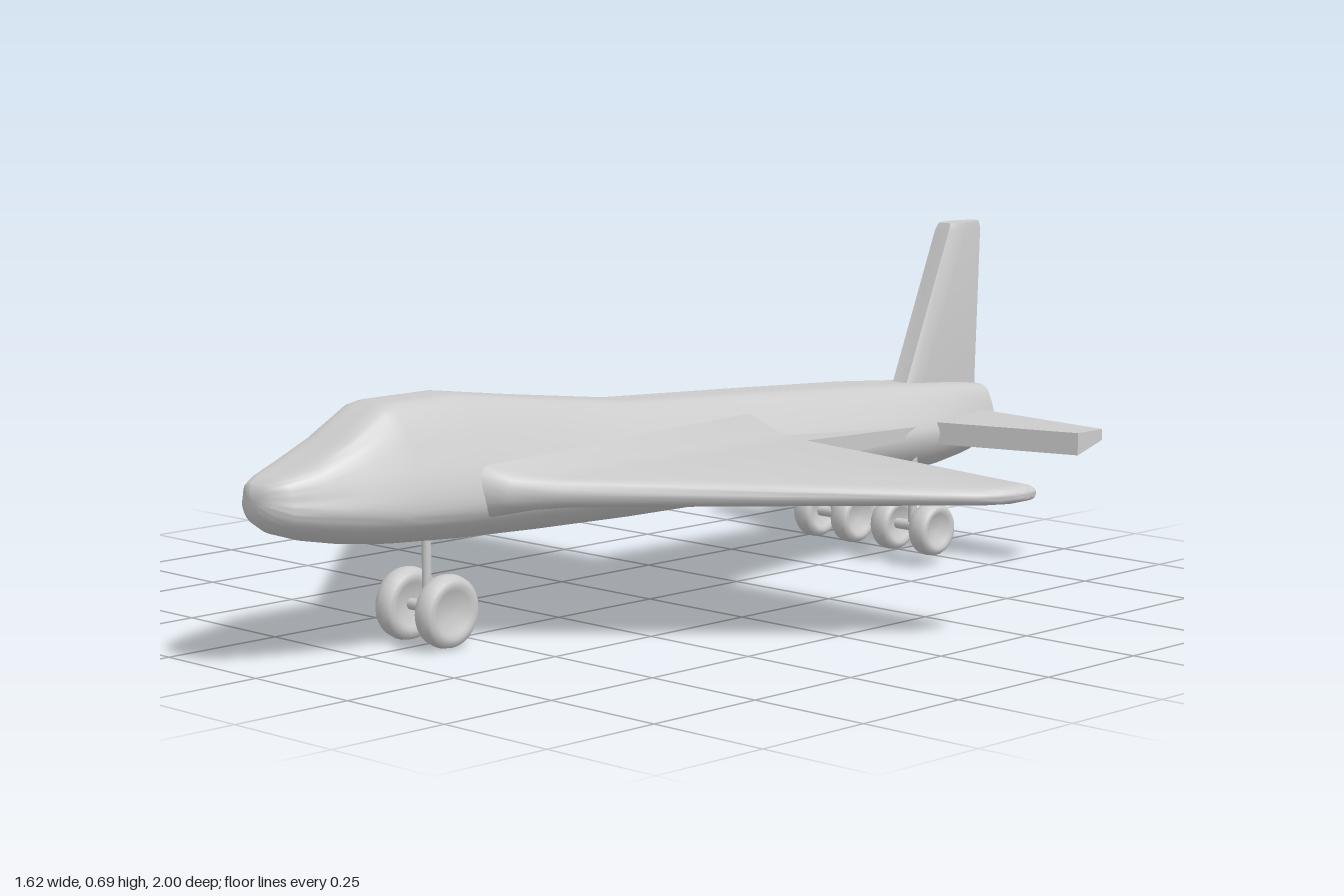
import * as THREE from 'three';
import { toCreasedNormals } from 'three/addons/utils/BufferGeometryUtils.js';

const material = new THREE.MeshStandardMaterial({ color: 0xcccccc });
const V = (x, y, z) => new THREE.Vector3(x, y, z);

// Skins a list of equally long closed rings and caps both ends.
function loft(rings, crease = 0.6) {
  const n = rings[0].length, pos = [], idx = [];
  rings.forEach(r => r.forEach(p => pos.push(p.x, p.y, p.z)));
  for (let i = 0; i < rings.length - 1; i++) {
    for (let j = 0; j < n; j++) {
      const a = i * n + j, b = i * n + (j + 1) % n;
      idx.push(a, b, a + n, b, b + n, a + n);
    }
  }
  [0, rings.length - 1].forEach((r, end) => {
    const c = rings[r].reduce((s, p) => s.add(p), V(0, 0, 0)).divideScalar(n);
    const k = pos.length / 3;
    pos.push(c.x, c.y, c.z);
    for (let j = 0; j < n; j++) {
      const a = r * n + j, b = r * n + (j + 1) % n;
      if (end) idx.push(k, a, b); else idx.push(k, b, a);
    }
  });
  // Turn the faces outwards if the enclosed volume is negative.
  const at = i => V(pos[3 * i], pos[3 * i + 1], pos[3 * i + 2]);
  let volume = 0;
  for (let i = 0; i < idx.length; i += 3) {
    volume += at(idx[i]).dot(at(idx[i + 1]).cross(at(idx[i + 2])));
  }
  if (volume < 0) idx.reverse();
  const g = new THREE.BufferGeometry();
  g.setAttribute('position', new THREE.Float32BufferAttribute(pos, 3));
  g.setIndex(idx);
  return toCreasedNormals(g, crease);
}

function add(parent, name, geometry, x = 0, y = 0, z = 0) {
  const m = new THREE.Mesh(geometry, material);
  m.name = name;
  m.position.set(x, y, z);
  parent.add(m);
  return m;
}

// Fuselage section: round belly, sloping shoulders, narrow flattened roof.
function bodyRing([z, hw, bottom, mid, top, roof]) {
  const h = top - mid, d = mid - bottom;
  const half = [
    [0, bottom], [hw * 0.4, mid - d * 0.92], [hw * 0.75, mid - d * 0.66], [hw * 0.95, mid - d * 0.3],
    [hw, mid], [hw * 0.95, mid + h * 0.22], [hw * 0.6 + roof * 0.4, mid + h * 0.52],
    [hw * 0.2 + roof * 0.8, mid + h * 0.82], [roof * 0.8, mid + h * 0.98], [0, top],
  ];
  const outline = [...half, ...half.slice(1, -1).reverse().map(([x, y]) => [-x, y])];
  const curve = new THREE.CatmullRomCurve3(outline.map(([x, y]) => V(x, y, z)), true);
  return Array.from({ length: 54 }, (_, i) => curve.getPoint(i / 54));
}

function fuselage() {
  // z, half width, belly y, widest y, roof y, roof half width
  const rings = [
    [1.0, 0.02, 0.295, 0.315, 0.335, 0.015],
    [0.99, 0.043, 0.275, 0.312, 0.35, 0.033],
    [0.96, 0.066, 0.256, 0.305, 0.36, 0.05],
    [0.9, 0.09, 0.237, 0.3, 0.378, 0.066],
    [0.82, 0.112, 0.221, 0.292, 0.415, 0.066],
    [0.74, 0.126, 0.211, 0.285, 0.464, 0.062],
    [0.71, 0.13, 0.208, 0.284, 0.47, 0.06],
    [0.55, 0.141, 0.197, 0.28, 0.47, 0.06],
    [0.35, 0.141, 0.188, 0.28, 0.442, 0.06],
    [0.1, 0.141, 0.18, 0.278, 0.41, 0.06],
    [-0.3, 0.141, 0.174, 0.272, 0.388, 0.066],
    [-0.6, 0.139, 0.17, 0.268, 0.37, 0.072],
    [-0.72, 0.132, 0.17, 0.266, 0.36, 0.072],
    [-0.82, 0.113, 0.176, 0.266, 0.352, 0.066],
    [-0.91, 0.09, 0.186, 0.267, 0.344, 0.056],
    [-0.98, 0.072, 0.2, 0.267, 0.335, 0.047],
  ].map(bodyRing);
  // Hollow exhaust
  const rim = rings[rings.length - 1];
  [[0.88, -0.985], [0.75, -0.94], [0.45, -0.91]].forEach(([s, z]) =>
    rings.push(rim.map(p => V(p.x * s, 0.267 + (p.y - 0.267) * s, z))));
  return loft(rings, 0.7);
}

// Wing section: flat plate with rounded leading and trailing edges.
function wingRing(x, front, back, low, high) {
  const r = Math.min(0.035, (front - back) / 2), h = (high - low) / 2, mid = (high + low) / 2;
  const ring = [];
  for (let i = 0; i <= 8; i++) {
    const a = -Math.PI / 2 + (i / 8) * Math.PI;
    ring.push(V(x, mid + h * Math.sin(a), front - r + r * Math.cos(a)));
  }
  for (let i = 0; i <= 8; i++) {
    const a = Math.PI / 2 + (i / 8) * Math.PI;
    ring.push(V(x, mid + h * Math.sin(a), back + r * 0.4 * (1 + Math.cos(a))));
  }
  return ring;
}

function wing(side) {
  // x, leading z, trailing z, underside y, top y
  return loft([
    [0.08, 0.59, -0.205, 0.24, 0.365], [0.13, 0.58, -0.205, 0.25, 0.345],
    [0.17, 0.54, -0.205, 0.262, 0.331], [0.23, 0.478, -0.205, 0.268, 0.323],
    [0.5, 0.203, -0.205, 0.269, 0.313], [0.72, -0.02, -0.205, 0.27, 0.304],
    [0.77, -0.072, -0.205, 0.27, 0.302], [0.793, -0.105, -0.205, 0.271, 0.301],
    [0.804, -0.135, -0.203, 0.275, 0.297], [0.808, -0.15, -0.197, 0.28, 0.292],
  ].map(([x, ...s]) => wingRing(side * x, ...s)), 0.8);
}

// Tailplane: thick leading edge tapering to a thin trailing edge.
function tailplane(side, tipX, shift) {
  const ring = (x, front, back) => [
    V(x, 0.242, front), V(x, 0.288, front), V(x, 0.288, back), V(x, 0.265, back)];
  return loft([ring(side * 0.05, -0.7 + shift, -0.93 + shift), ring(side * tipX, -0.81 + shift, -0.89 + shift)], 0.3);
}

// Fin: blunt front, slimmer rear, leaning back.
function fin() {
  const ring = (y, front, back, s) => [
    V(-0.019 * s, y, front), V(0.019 * s, y, front), V(0.026 * s, y, front - 0.02), V(0.026 * s, y, front - 0.05),
    V(0.014 * s, y, back + 0.006), V(0, y, back),
    V(-0.014 * s, y, back + 0.006), V(-0.026 * s, y, front - 0.05), V(-0.026 * s, y, front - 0.02)];
  return loft([ring(0.29, -0.69, -0.985, 1.1), ring(0.36, -0.752, -0.987, 1),
    ring(0.67, -0.883, -0.999, 1), ring(0.685, -0.892, -0.995, 0.85)], 0.5);
}

// Wheel with rounded tyre and dished hub, axis along x.
function wheel(r, w) {
  const h = w / 2;
  const p = [[0, -h * 0.45], [r * 0.3, -h * 0.5], [r * 0.6, -h * 0.85], [r * 0.72, -h], [r * 0.86, -h * 0.92],
    [r * 0.96, -h * 0.6], [r, 0]];
  const profile = [...p, ...p.slice(0, -1).reverse().map(([a, b]) => [a, -b])];
  return new THREE.LatheGeometry(profile.map(([a, b]) => new THREE.Vector2(a, b)), 28).rotateZ(Math.PI / 2);
}

function landingGear(name, x, z, r, y, gap) {
  const g = new THREE.Group();
  g.name = name;
  g.position.set(x, 0, z);
  add(g, 'strut', new THREE.CylinderGeometry(0.009, 0.009, 0.16, 14), 0, y + 0.075, 0);
  add(g, 'axle', new THREE.CylinderGeometry(0.011, 0.011, 2 * gap, 14).rotateZ(Math.PI / 2), 0, y, 0);
  [-1, 1].forEach(s => add(g, 'wheel', wheel(r, 0.046), s * gap, y, 0));
  return g;
}

export function createModel() {
  const model = new THREE.Group();
  model.name = 'airplane';
  add(model, 'fuselage', fuselage());
  add(model, 'leftWing', wing(1));
  add(model, 'rightWing', wing(-1));
  add(model, 'leftTailplane', tailplane(1, 0.425, -0.005));
  add(model, 'rightTailplane', tailplane(-1, 0.4, 0.01));
  add(model, 'fin', fin());

  // Slim fairing behind the left wing root
  const fairing = (z, x, low, high) => [V(0.09, low, z), V(x, low, z), V(x, high, z), V(0.09, high, z)];
  add(model, 'wingRootFairing', loft([fairing(-0.18, 0.218, 0.272, 0.318), fairing(-0.68, 0.125, 0.262, 0.285)], 0.3));

  model.add(landingGear('noseGear', 0, 0.59, 0.07, 0.07, 0.055));
  model.add(landingGear('leftMainGear', 0.108, -0.67, 0.056, 0.075, 0.052));
  model.add(landingGear('rightMainGear', -0.108, -0.67, 0.056, 0.075, 0.052));
  return model;
}
